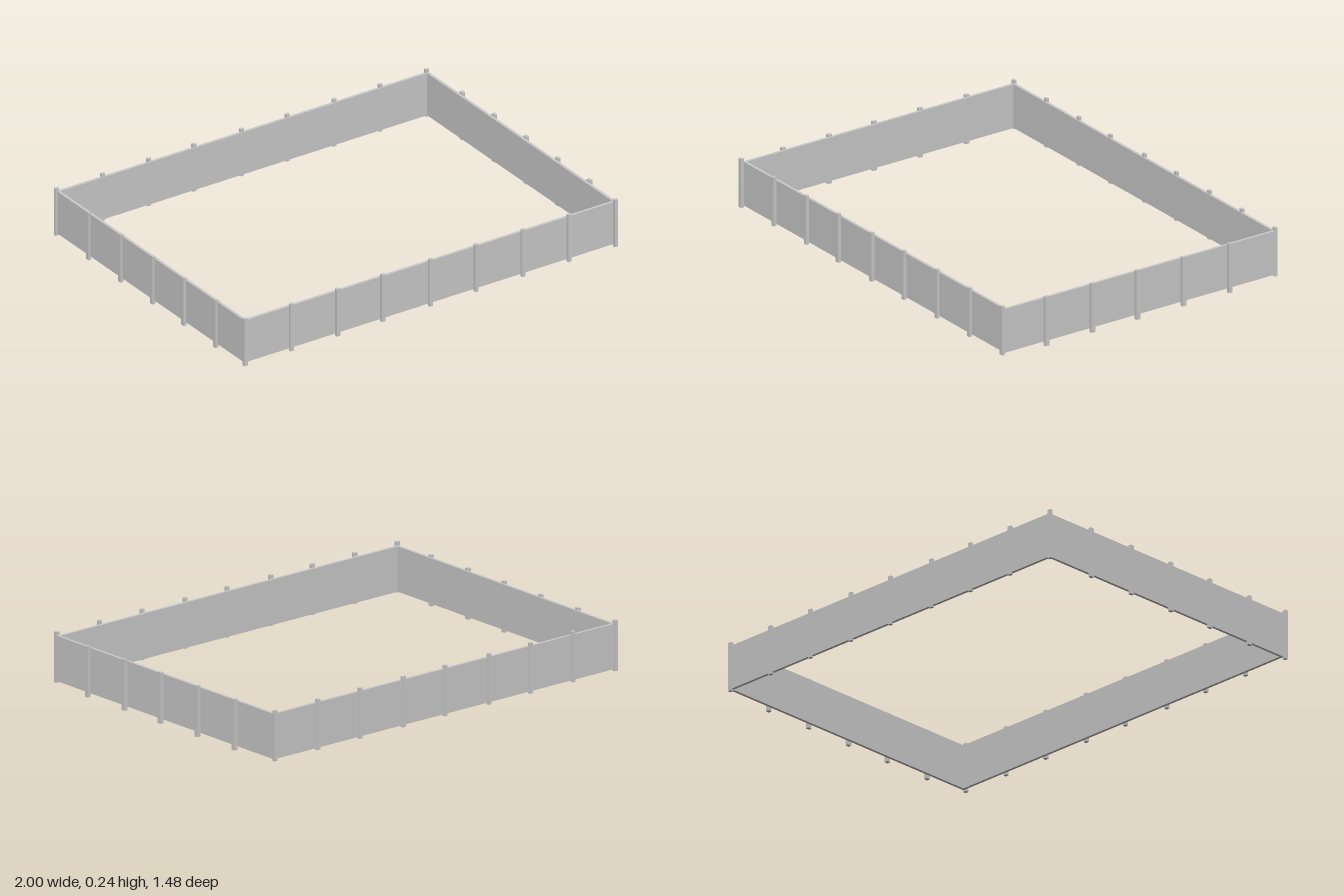
import * as THREE from 'three';

export function createModel() {
  const model = new THREE.Group();
  const material = new THREE.MeshStandardMaterial({ color: 0xcccccc, flatShading: true });

  // Box given by its lower and upper limits on each axis
  function box(name, [x0, x1], [y0, y1], [z0, z1]) {
    const mesh = new THREE.Mesh(new THREE.BoxGeometry(x1 - x0, y1 - y0, z1 - z0), material);
    mesh.position.set((x0 + x1) / 2, (y0 + y1) / 2, (z0 + z1) / 2);
    mesh.name = name;
    model.add(mesh);
  }

  // Four wall panels, raised slightly off the ground
  const wallY = [0.017, 0.226];
  box('frontPanel', [-0.989, 0.984], wallY, [0.713, 0.726]);
  box('backPanel', [-0.989, 0.984], wallY, [-0.738, -0.725]);
  box('rightPanel', [-0.989, -0.976], wallY, [-0.725, 0.713]);
  box('leftPanel', [0.971, 0.984], wallY, [-0.725, 0.713]);

  // Posts along the outside of the front and back, corners included
  for (const x of [-0.99, -0.745, -0.5, -0.26, -0.007, 0.235, 0.484, 0.729, 0.976]) {
    const span = [x - 0.009, x + 0.009];
    box('frontPost', span, [0.008, 0.242], [0.726, 0.741]);
    box('backPost', span, [0.008, 0.242], [-0.743, -0.729]);
  }

  // Posts along the outside of the two sides
  for (const z of [-0.482, -0.232, 0.016, 0.259, 0.507]) {
    const span = [z - 0.01, z + 0.01];
    box('rightPost', [-1, -0.985], [0, 0.236], span);
    box('leftPost', [0.984, 1], [0, 0.236], span);
  }
  return model;
}
